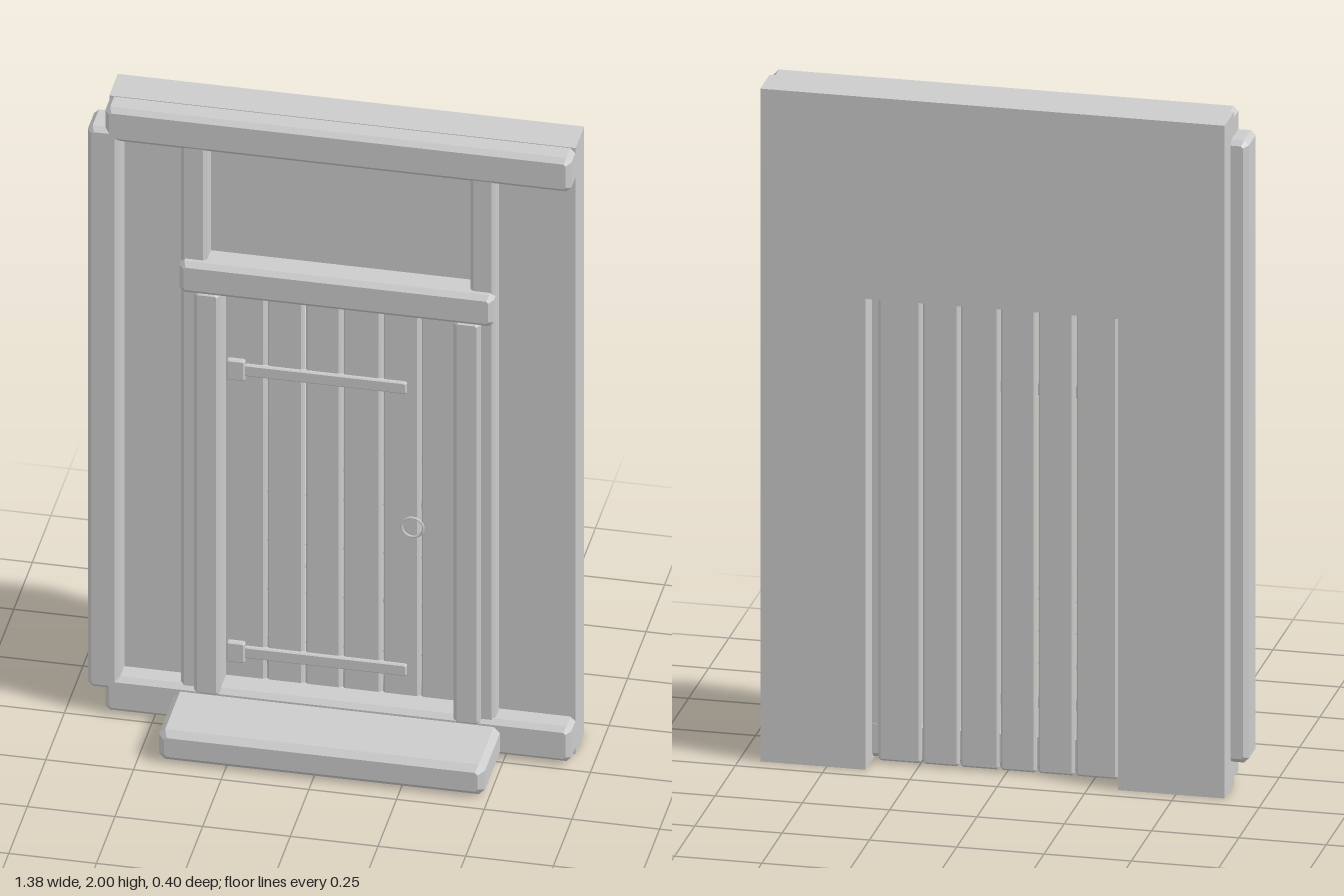
import * as THREE from 'three';

const grey = new THREE.MeshStandardMaterial({ color: 0xcccccc });
grey.name = 'plain grey';

export function createModel() {
  const model = new THREE.Group();
  model.name = 'timberDoorway';

  const add = (name, geometry) => {
    const mesh = new THREE.Mesh(geometry, grey);
    mesh.name = name;
    model.add(mesh);
    return mesh;
  };

  const shapeOf = (points) => new THREE.Shape(points.map(([x, y]) => new THREE.Vector2(x, y)));

  // Block between two corners, with all twelve edges chamfered by c
  const block = (name, x0, x1, y0, y1, z0, z1, c = 0.014) => {
    const [l, r, b, t] = [x0 + c, x1 - c, y0 + c, y1 - c];
    const k = 0.414 * c;
    const shape = shapeOf([[l + k, b], [r - k, b], [r, b + k], [r, t - k],
      [r - k, t], [l + k, t], [l, t - k], [l, b + k]]);
    const geometry = new THREE.ExtrudeGeometry(shape, {
      depth: z1 - z0 - 2 * c, bevelEnabled: true, bevelSegments: 1,
      bevelSize: c, bevelThickness: c,
    });
    return add(name, geometry.translate(0, 0, z0 + c));
  };

  // Wall with a doorway open at the bottom
  const wall = shapeOf([[-0.64, 0], [-0.335, 0], [-0.335, 1.4], [0.388, 1.4],
    [0.388, 0], [0.69, 0], [0.69, 2], [-0.64, 2]]);
  add('wall', new THREE.ExtrudeGeometry(wall, { depth: 0.115, bevelEnabled: false })
    .translate(0, 0, -0.2));

  // Timber frame
  block('topBeam', -0.64, 0.689, 1.888, 1.998, -0.12, -0.018);
  block('bottomBeam', -0.64, 0.689, 0.008, 0.122, -0.12, -0.018);
  block('cornerPost', -0.69, -0.597, 0.08, 1.93, -0.13, -0.018);
  block('innerPostRight', -0.425, -0.35, 0.1, 1.91, -0.11, -0.028, 0.01);
  block('innerPostLeft', 0.4, 0.472, 0.1, 1.91, -0.11, -0.028, 0.01);

  // Door surround and doorstep
  block('doorJambRight', -0.385, -0.31, 0.1, 1.43, -0.12, -0.013, 0.01);
  block('doorJambLeft', 0.355, 0.432, 0.1, 1.43, -0.12, -0.013, 0.01);
  block('lintel', -0.425, 0.472, 1.425, 1.527, -0.12, -0.002);
  block('doorstep', -0.442, 0.488, 0.004, 0.102, -0.09, 0.2, 0.018);

  // Door planks, nearly touching, with chamfers forming the grooves
  const joints = [-0.32, -0.196, -0.087, 0.02, 0.134, 0.243, 0.37];
  for (let i = 0; i < 6; i++) {
    block('doorPlank', joints[i] + 0.003, joints[i + 1] - 0.003, 0.006, 1.405, -0.136, -0.1, 0.006);
  }

  // Strap hinges
  for (const y of [0.207, 1.138]) {
    block('hingeStrap', -0.26, 0.206, y - 0.019, y + 0.019, -0.108, -0.09, 0.004);
    block('hingePlate', -0.306, -0.254, y - 0.033, y + 0.033, -0.108, -0.084, 0.004);
  }

  // Ring handle
  const ring = add('ringHandle', new THREE.TorusGeometry(0.031, 0.004, 6, 20));
  ring.position.set(0.222, 0.68, -0.097);

  return model;
}
